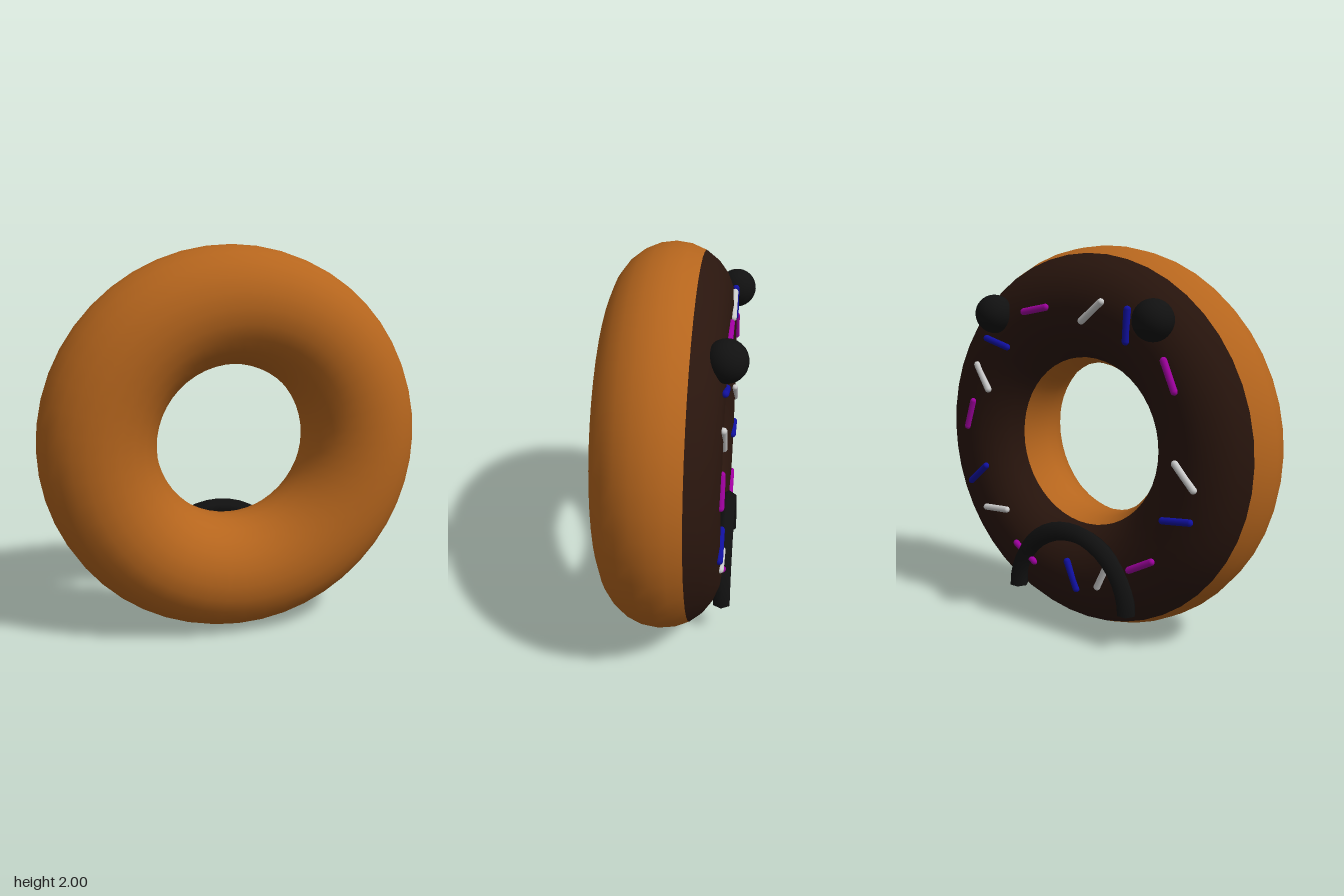
import * as THREE from 'three';

const RING = 0.7, TUBE = 0.3, MID_Z = 0.05, BACK_Z = -0.25;

function add(parent, name, geometry, color) {
  const mesh = new THREE.Mesh(geometry, new THREE.MeshStandardMaterial({ color }));
  mesh.name = name;
  parent.add(mesh);
  return mesh;
}

// Band of the ring swept between two angles (degrees) of its round section
function ringBand(from, to, steps) {
  const profile = [];
  for (let i = 0; i <= steps; i++) {
    const a = THREE.MathUtils.degToRad(from + (to - from) * i / steps);
    profile.push(new THREE.Vector2(RING + TUBE * Math.cos(a), TUBE * Math.sin(a)));
  }
  return new THREE.LatheGeometry(profile, 48).rotateX(Math.PI / 2).translate(0, 1, MID_Z);
}

export function createModel() {
  const model = new THREE.Group();
  model.name = 'doughnut';

  // Dough and the icing that covers the back third of the section
  add(model, 'dough', ringBand(-30, 210, 16), 0xb5651d);
  add(model, 'icing', ringBand(210, 330, 8), 0x2a160e);

  // Eyes
  for (const side of [1, -1]) {
    const eye = add(model, side > 0 ? 'leftEye' : 'rightEye', new THREE.SphereGeometry(0.1, 24, 16), 0x111111);
    eye.position.set(side * 0.5, 1.65, BACK_Z);
  }

  // Arched mouth with closed ends
  const mouth = new THREE.Group();
  mouth.name = 'mouth';
  mouth.position.set(0, 0.19, BACK_Z);
  model.add(mouth);
  add(mouth, 'mouthArch', new THREE.TorusGeometry(0.36, 0.05, 6, 20, Math.PI), 0x111111);
  for (const side of [1, -1]) {
    const end = add(mouth, 'mouthEnd', new THREE.CircleGeometry(0.05, 6), 0x111111);
    end.rotation.x = Math.PI / 2;
    end.position.x = side * 0.36;
  }

  // Sprinkles: centre x, centre y, direction x, direction y; colours repeat in threes
  const colors = [0xa000a0, 0xd8d8d8, 0x1010a0];
  const sprinkles = [
    [0.22, 1.68, -0.17, 0.03], [-0.14, 1.68, -0.14, 0.11], [-0.35, 1.62, 0.01, -0.17],
    [-0.59, 1.40, -0.07, -0.16], [-0.68, 0.94, -0.12, -0.13], [-0.64, 0.72, -0.19, 0.02],
    [-0.44, 0.46, -0.17, 0.09], [-0.21, 0.36, -0.07, 0.14], [-0.01, 0.32, -0.07, -0.16],
    [0.31, 0.38, -0.16, -0.10], [0.52, 0.59, -0.18, 0.01], [0.65, 0.77, -0.14, 0.12],
    [0.70, 1.10, 0.06, -0.18], [0.60, 1.31, -0.09, -0.15], [0.49, 1.50, -0.18, -0.05],
  ];
  const capsule = new THREE.CapsuleGeometry(0.018, 0.15, 4, 10);
  sprinkles.forEach(([x, y, dx, dy], i) => {
    const sprinkle = add(model, 'sprinkle', capsule, colors[i % 3]);
    sprinkle.position.set(x, y, BACK_Z);
    sprinkle.rotation.z = Math.atan2(-dx, dy);
  });

  return model;
}
